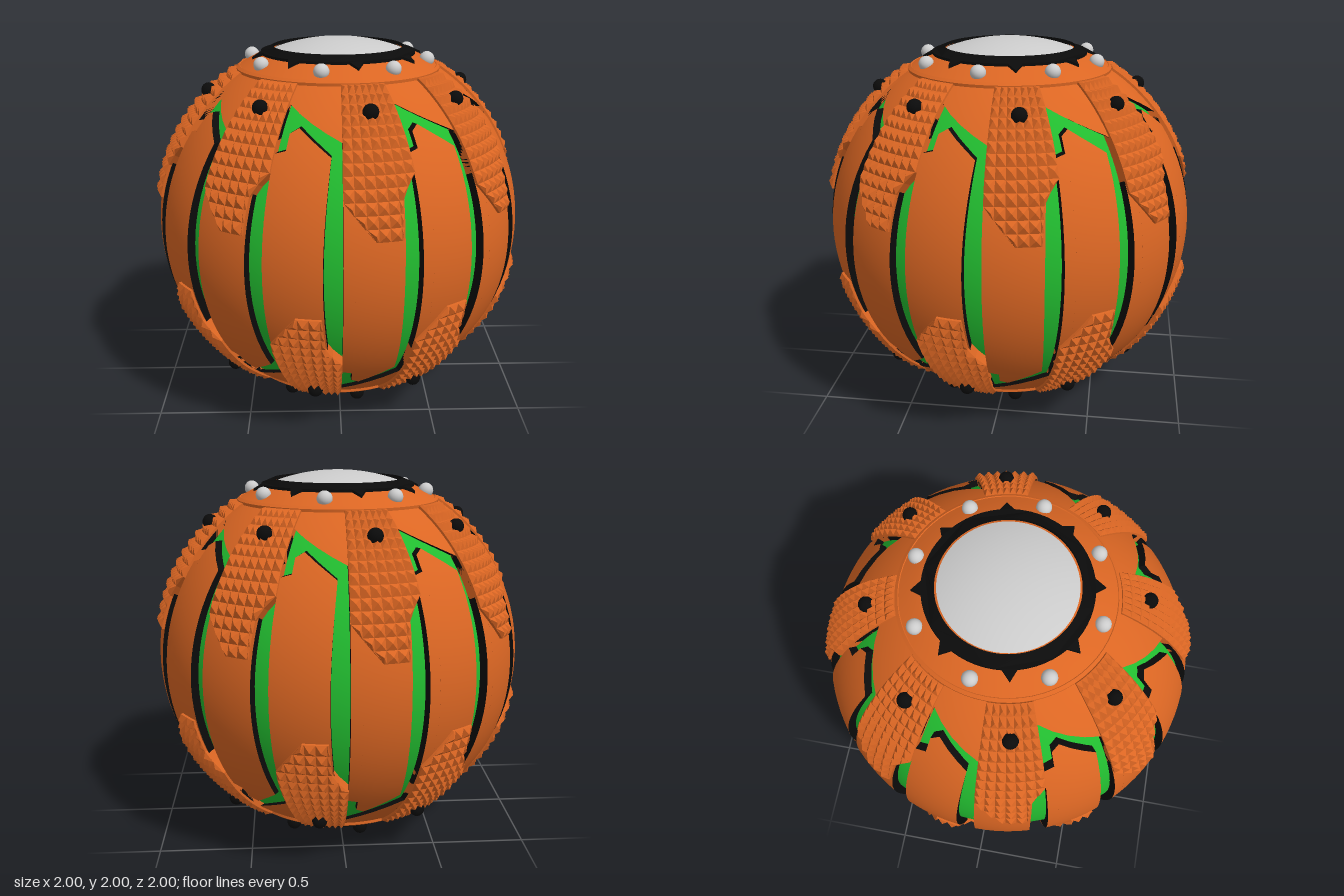
import * as THREE from 'three';

const DEG = Math.PI / 180, STEP = 22.5, MID = 0.985;

const material = (name, color) => {
  const m = new THREE.MeshStandardMaterial({ color });
  m.name = name;
  return m;
};

// Piecewise linear lookup in a short table of [input, output] pairs
function lookup(table, v) {
  if (v <= table[0][0]) return table[0][1];
  for (let i = 1; i < table.length; i++) {
    const [a, b] = [table[i - 1], table[i]];
    if (v <= b[0]) return a[1] + (b[1] - a[1]) * (v - a[0]) / (b[0] - a[0]);
  }
  return table[table.length - 1][1];
}

// Point on a unit ball from azimuth in degrees and height
function onBall(az, y, radius = 1) {
  const r = Math.sqrt(Math.max(0, 1 - y * y));
  return new THREE.Vector3(r * Math.sin(az * DEG), y, r * Math.cos(az * DEG)).multiplyScalar(radius);
}

function fromTriangles(points, smooth) {
  const g = new THREE.BufferGeometry().setFromPoints(points);
  if (smooth) {
    g.setAttribute('normal', new THREE.BufferAttribute(
      new Float32Array(points.flatMap(p => p.clone().normalize().toArray())), 3));
  } else g.computeVertexNormals();
  return g;
}

// Curved skin over a grid[column][row]
function skin(grid) {
  const tris = [];
  for (let i = 0; i + 1 < grid.length; i++) for (let j = 0; j + 1 < grid[i].length; j++) {
    const a = grid[i][j], b = grid[i + 1][j], c = grid[i + 1][j + 1], d = grid[i][j + 1];
    tris.push(a, b, c, a, c, d);
  }
  return fromTriangles(tris, true);
}

// Side walls running inward from the border of a grid
function walls(grid, inward) {
  const nc = grid.length - 1, nr = grid[0].length - 1, loop = [], tris = [];
  for (let i = 0; i < nc; i++) loop.push(grid[i][0]);
  for (let j = 0; j < nr; j++) loop.push(grid[nc][j]);
  for (let i = nc; i > 0; i--) loop.push(grid[i][nr]);
  for (let j = nr; j > 0; j--) loop.push(grid[0][j]);
  loop.forEach((p, k) => {
    const q = loop[(k + 1) % loop.length], p2 = inward(p), q2 = inward(q);
    tris.push(p, p2, q, q, p2, q2);
  });
  return fromTriangles(tris, false);
}

const sink = p => new THREE.Vector3(p.x * 0.95, p.y, p.z * 0.95);

// Grid from columns [azimuth, low, high]; bend adjusts azimuth by height
function columnGrid(columns, rows, bend) {
  return columns.map(([a, lo, hi]) => Array.from({ length: rows + 1 }, (_, j) => {
    const y = lo + (hi - lo) * j / rows;
    return onBall(bend(a, y), y);
  }));
}

// Panel covered in small pyramids, with chamfered lower corners
function studdedPanel() {
  const left = [[0.195, 9], [0.375, 0]];
  const right = [[0.195, 16.5], [0.4, 17.5], [0.47, 22.5]];
  const cols = 7, rows = 13, lat0 = Math.asin(0.195), lat1 = Math.asin(0.838);
  const grid = [], tris = [];
  for (let i = 0; i <= cols; i++) {
    grid.push([]);
    for (let j = 0; j <= rows; j++) {
      const y = Math.sin(lat0 + (lat1 - lat0) * j / rows);
      const az = THREE.MathUtils.clamp(STEP * i / cols, lookup(left, y), lookup(right, y));
      grid[i].push(onBall(az, y, 1.012));
    }
  }
  for (let i = 0; i < cols; i++) for (let j = 0; j < rows; j++) {
    const c = [grid[i][j], grid[i + 1][j], grid[i + 1][j + 1], grid[i][j + 1]];
    const width = c[0].distanceTo(c[1]) + c[3].distanceTo(c[2]);
    if (width < 1e-4) continue;
    const tip = c[0].clone().add(c[1]).add(c[2]).add(c[3])
      .setLength(1.012 + Math.min(0.022, width * 0.3));
    c.forEach((p, k) => {
      const q = c[(k + 1) % 4];
      if (p.distanceTo(q) > 1e-5) tris.push(p, q, tip);
    });
  }
  return [fromTriangles(tris, false), walls(grid, p => p.clone().multiplyScalar(0.94))];
}

// Thin domed ring with eight thorns
function thornRing() {
  const at = (r, deg) => new THREE.Vector2(r * Math.sin(deg * DEG), -r * Math.cos(deg * DEG));
  const pts = [];
  for (let k = 0; k < 8; k++) {
    const a = 11.25 + 45 * k;
    pts.push(at(0.415, a - 5), at(0.465, a), at(0.415, a + 5));
    for (let d = 11; d < 40; d += 6) pts.push(at(0.415, a + d));
  }
  const shape = new THREE.Shape(pts);
  shape.holes.push(new THREE.Path().absarc(0, 0, 0.35, 0, Math.PI * 2, true));
  const g = new THREE.ExtrudeGeometry(shape, { depth: 1, bevelEnabled: false, curveSegments: 48 });
  g.rotateX(-Math.PI / 2);
  const p = g.attributes.position;
  for (let i = 0; i < p.count; i++) {
    const R = p.getY(i) > 0.5 ? 1.022 : 0.985;
    p.setY(i, Math.sqrt(R * R - p.getX(i) ** 2 - p.getZ(i) ** 2));
  }
  g.computeVertexNormals();
  return g;
}

// Upside-down copy with corrected corner order
function flipped(source) {
  const g = source.index ? source.toNonIndexed() : source.clone();
  for (const key of ['position', 'normal']) {
    const a = g.attributes[key];
    for (let i = 0; i < a.count; i += 3) {
      const v = [0, 2, 1].map(k => new THREE.Vector3().fromBufferAttribute(a, i + k));
      v.forEach((p, k) => a.setXYZ(i + k, p.x, -p.y, p.z));
    }
  }
  return g;
}

export function createModel() {
  const orange = material('orange', 0xdb6623);
  const green = material('green', 0x22bd30);
  const black = material('black', 0x0b0b0b);
  const grey = material('light grey', 0xcccccc);
  const maroon = material('dark maroon', 0x220508);

  const model = new THREE.Group();
  model.name = 'armouredBall';
  const ball = new THREE.Group();
  ball.name = 'ball';
  ball.position.y = MID;
  model.add(ball);

  // Green core, slightly narrower than the plates
  const core = new THREE.Mesh(new THREE.SphereGeometry(1, 64, 40, 0, Math.PI * 2, 0.36, Math.PI - 0.72), green);
  core.scale.set(0.955, 0.995, 0.955);
  core.name = 'core';
  ball.add(core);

  // Long plate with a notched end
  const plate = columnGrid(
    [[0, -0.82, 0.565], [3.7, -0.82, 0.58], [3.7, -0.82, 0.65], [6.8, -0.82, 0.675],
      [11, -0.82, 0.637], [15, -0.82, 0.6], [19, -0.82, 0.56]],
    24, (a, y) => a / 19 * (17 + 2 * Math.min(1, (y / 0.57) ** 2)) - STEP);
  // Shoulder with a slanted lower edge, then a level part behind the panel
  const shoulder = columnGrid(
    [0, 5.6, 11.25, 16.9, 22.5, 33.75, 45].map(a => [a, Math.max(0.62, 0.767 - 0.147 * a / STEP), 0.86]),
    6, a => a - STEP);
  const [pyramids, panelEdge] = studdedPanel();

  // Collar, and the cap in its opening
  const collar = new THREE.LatheGeometry([
    [0.545, 0.825], [0.548, 0.852], [0.548, 0.852], [0.532, 0.864], [0.532, 0.864],
    [0.528, 0.861], [0.528, 0.861], [0.49, 0.883], [0.45, 0.904], [0.4, 0.927], [0.34, 0.945],
  ].map(([x, y]) => new THREE.Vector2(x, y)), 64);
  const cap = new THREE.SphereGeometry(1, 48, 10, 0, Math.PI * 2, 0, 0.362);
  cap.scale(1, 0.985, 1).translate(0, 0, 0);
  const capPoints = cap.attributes.position;
  for (let i = 0; i < capPoints.count; i++) capPoints.setY(i, capPoints.getY(i) + 0.014);
  cap.translate(0, -0.014 + 0.015, 0);
  const bolt = new THREE.SphereGeometry(0.04, 18, 12);
  const panelBolt = bolt.clone().translate(...onBall(11.25, 0.728, 1.022).toArray());
  const collarBolt = bolt.clone().translate(...onBall(-11.25, 0.882, 1.017).toArray());

  const eightfold = [
    ['plate', skin(plate), orange, orange],
    ['plateSide', walls(plate, sink), black, black],
    ['shoulder', skin(shoulder), orange, orange],
    ['shoulderSide', walls(shoulder, sink), black, black],
    ['studdedPanel', pyramids, orange, orange],
    ['studdedPanelEdge', panelEdge, orange, orange],
    ['panelBolt', panelBolt, black, black],
    ['collarBolt', collarBolt, grey, black],
  ];
  const single = [
    ['collar', collar, orange, orange],
    ['thornRing', thornRing(), black, black],
    ['cap', cap, grey, maroon],
  ];

  // The lower half mirrors the upper one, turned by one plate
  for (const lower of [false, true]) {
    const half = new THREE.Group();
    half.name = lower ? 'lowerHalf' : 'upperHalf';
    half.rotation.y = lower ? -STEP * DEG : 0;
    ball.add(half);
    const place = (count) => ([name, source, upperMat, lowerMat]) => {
      const geometry = lower ? flipped(source) : source;
      for (let k = 0; k < count; k++) {
        const mesh = new THREE.Mesh(geometry, lower ? lowerMat : upperMat);
        mesh.name = name;
        mesh.rotation.y = k * 45 * DEG;
        half.add(mesh);
      }
    };
    eightfold.forEach(place(8));
    single.forEach(place(1));
  }
  return model;
}
